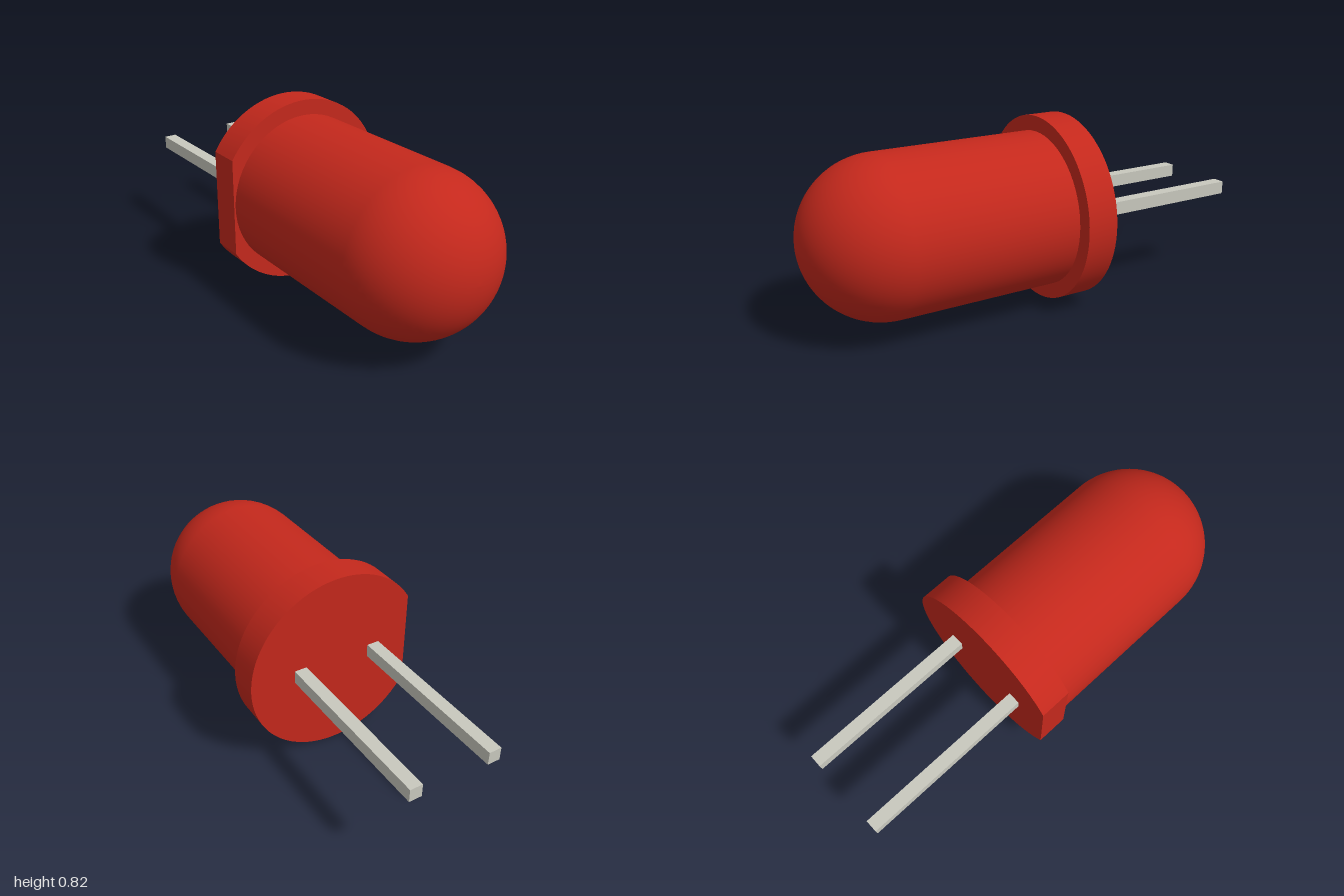
import * as THREE from 'three';
import { toCreasedNormals } from 'three/addons/utils/BufferGeometryUtils.js';

const CX = -0.03, CY = 0.412;           // lens axis
const BACK = -0.217, STEP = -0.077;     // flange back and front
const BODY_R = 0.345, FLANGE_R = 0.412, FLAT = 0.352;

export function createModel() {
  const group = new THREE.Group();
  const red = new THREE.MeshStandardMaterial({ color: 0xc4281c });
  const metal = new THREE.MeshStandardMaterial({ color: 0xc8c8be });

  const add = (name, geometry, material, x, y, z) => {
    const mesh = new THREE.Mesh(geometry, material);
    mesh.name = name;
    mesh.position.set(x, y, z);
    group.add(mesh);
  };

  // Cylindrical lens with a hemispherical tip, turned around z
  const domeZ = 1 - BODY_R;
  const profile = [new THREE.Vector2(BODY_R, STEP - 0.01)];
  for (let i = 0; i <= 20; i++) {
    const a = (i / 20) * Math.PI / 2;
    profile.push(new THREE.Vector2(i === 20 ? 0 : BODY_R * Math.cos(a), domeZ + BODY_R * Math.sin(a)));
  }
  add('lens', new THREE.LatheGeometry(profile, 64).rotateX(Math.PI / 2), red, CX, CY, 0);

  // Rim with one flat side; closing the arc makes the flat
  const end = Math.PI - Math.acos(FLAT / FLANGE_R);
  const rim = new THREE.Shape();
  rim.absarc(0, 0, FLANGE_R, -end, end, false);
  rim.closePath();
  const rimGeometry = new THREE.ExtrudeGeometry(rim, {
    depth: STEP - BACK, bevelEnabled: false, curveSegments: 36,
  });
  add('flange', toCreasedNormals(rimGeometry, 0.3), red, CX, CY, BACK);

  // Two square leads, sunk slightly into the flange
  const length = 1 + BACK + 0.02;
  for (const side of [-1, 1]) {
    add(side < 0 ? 'rightLead' : 'leftLead', new THREE.BoxGeometry(0.056, 0.058, length),
      metal, CX + side * 0.18, CY + 0.002, -1 + length / 2);
  }

  return group;
}
